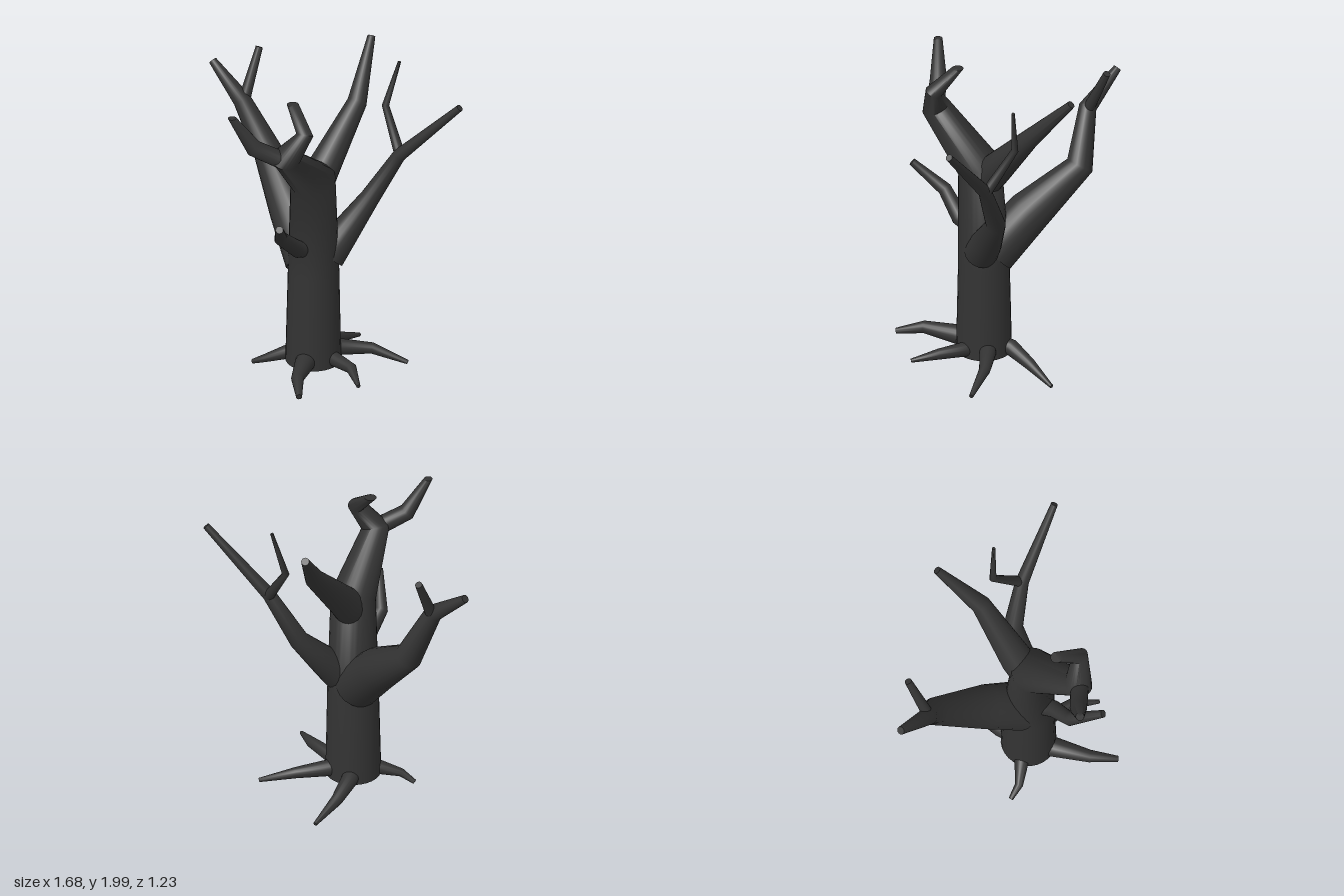
import * as THREE from 'three';
import { toCreasedNormals } from 'three/addons/utils/BufferGeometryUtils.js';

const bark = new THREE.MeshStandardMaterial({ color: 0x333333, roughness: 0.9 });
const UP = new THREE.Vector3(0, 1, 0);

// Tapered limb through rings [x, y, z, radius]; flatTop cuts the tip level
function limb(name, rings, flatTop = false, sides = 20) {
  const pts = rings.map(([x, y, z]) => new THREE.Vector3(x, y, z));
  const last = pts.length - 1;
  const dirs = pts.slice(1).map((p, i) => p.clone().sub(pts[i]).normalize());
  const turn = new THREE.Quaternion();
  let prev = UP;
  const frames = pts.map((_, i) => {
    let t = dirs[Math.max(i - 1, 0)].clone().add(dirs[Math.min(i, last - 1)]).normalize();
    if (flatTop && i === last) t = UP.clone();
    turn.premultiply(new THREE.Quaternion().setFromUnitVectors(prev, t));
    prev = t;
    return turn.clone();
  });
  // Bend a unit cylinder so each of its rows lands on one ring
  const geo = new THREE.CylinderGeometry(1, 1, 1, sides, last);
  const pos = geo.attributes.position;
  const v = new THREE.Vector3();
  for (let k = 0; k < pos.count; k++) {
    const i = Math.round((pos.getY(k) + 0.5) * last);
    v.set(pos.getX(k), 0, pos.getZ(k)).multiplyScalar(rings[i][3]);
    v.applyQuaternion(frames[i]).add(pts[i]);
    pos.setXYZ(k, v.x, v.y, v.z);
  }
  const mesh = new THREE.Mesh(toCreasedNormals(geo, 1.0), bark);
  mesh.name = name;
  return mesh;
}

export function createModel() {
  const tree = new THREE.Group();
  tree.name = 'bareTree';

  // Trunk leaning forward at the top
  tree.add(limb('trunk', [
    [-0.045, 0.1, 0.06, 0.168], [-0.043, 0.7, 0.06, 0.155], [-0.04, 1.33, 0.085, 0.138],
    [-0.12, 1.63, 0.41, 0.088], [-0.01, 1.79, 0.375, 0.052], [-0.115, 1.925, 0.265, 0.036],
  ], true, 28));

  // Main branches and their twigs
  const branches = new THREE.Group();
  branches.name = 'branches';
  branches.add(
    limb('frontFork', [
      [-0.13, 1.62, 0.42, 0.055], [-0.3, 1.71, 0.475, 0.052], [-0.42, 1.925, 0.53, 0.026],
    ], true),
    limb('backBranch', [
      [-0.04, 1.23, 0.06, 0.1], [-0.01, 1.35, -0.03, 0.1],
      [0.125, 1.68, -0.31, 0.06], [0.135, 1.985, -0.595, 0.024],
    ]),
    limb('rightBranch', [
      [-0.08, 0.75, 0.02, 0.15], [-0.24, 0.98, -0.15, 0.135], [-0.46, 1.24, -0.385, 0.085],
      [-0.61, 1.56, -0.37, 0.055], [-0.82, 1.745, -0.47, 0.025],
    ]),
    limb('rightTwig', [
      [-0.6, 1.53, -0.37, 0.036], [-0.59, 1.6, -0.4, 0.034], [-0.545, 1.85, -0.525, 0.022],
    ]),
    limb('leftBranch', [
      [0.04, 0.8, 0.04, 0.105], [0.1, 0.9, -0.02, 0.095], [0.25, 1.13, -0.15, 0.06],
      [0.43, 1.44, -0.16, 0.041], [0.825, 1.85, -0.1, 0.021],
    ]),
    limb('leftTwig', [
      [0.43, 1.44, -0.17, 0.033], [0.305, 1.69, -0.3, 0.022], [0.385, 1.985, -0.325, 0.01],
    ]),
    limb('frontStub', [
      [-0.08, 0.88, 0.13, 0.055], [-0.09, 0.93, 0.24, 0.052],
      [-0.16, 1.06, 0.37, 0.042], [-0.115, 1.225, 0.565, 0.023],
    ]),
  );
  tree.add(branches);

  // Roots spreading from the foot
  const roots = new THREE.Group();
  roots.name = 'roots';
  [
    [[-0.05, 0.16, 0.08, 0.06], [-0.19, 0.135, 0.07, 0.045], [-0.33, 0.085, 0.105, 0.025], [-0.415, 0.04, 0.085, 0.014]],
    [[0, 0.16, 0.03, 0.06], [0.1, 0.155, -0.03, 0.05], [0.28, 0.14, -0.09, 0.034], [0.5, 0.07, -0.1, 0.013]],
    [[-0.02, 0.14, 0.04, 0.06], [0.1, 0.15, 0.12, 0.045], [0.24, 0.16, 0.23, 0.033], [0.325, 0.125, 0.375, 0.012]],
    [[-0.06, 0.14, 0.1, 0.07], [-0.05, 0.155, 0.25, 0.058], [-0.035, 0.165, 0.45, 0.038], [0.02, 0.13, 0.61, 0.018]],
    [[-0.06, 0.15, 0.04, 0.06], [-0.05, 0.14, -0.12, 0.05], [0, 0.085, -0.26, 0.036], [0.1, 0.02, -0.45, 0.012]],
  ].forEach((rings, i) => roots.add(limb(`root${i + 1}`, rings)));
  tree.add(roots);

  return tree;
}
